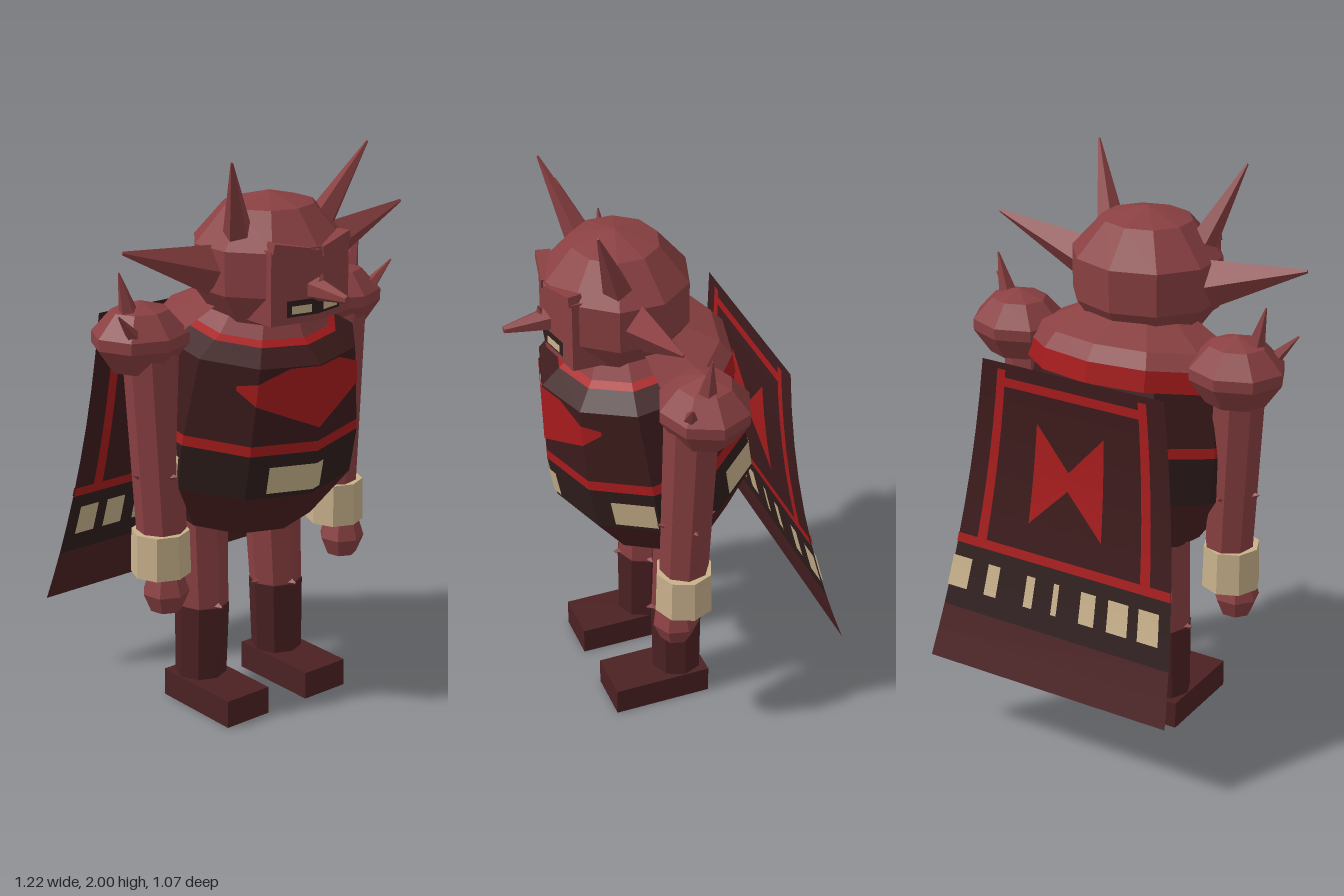
import * as THREE from 'three';

const mat = (name, color, side = THREE.FrontSide) => {
  const m = new THREE.MeshStandardMaterial({ color, side });
  m.name = name;
  return m;
};

export function createModel() {
  const model = new THREE.Group();
  model.name = 'hornedWarrior';
  const skin = mat('skin', 0x8a4042);
  const boot = mat('darkRed', 0x4b2123, THREE.DoubleSide);
  const cloth = mat('maroonCloth', 0x3d1b1c, THREE.DoubleSide);
  const black = mat('blackBand', 0x2f1e1d, THREE.DoubleSide);
  const red = mat('red', 0xa81c1d, THREE.DoubleSide);
  const pale = mat('pale', 0xc9b28c, THREE.DoubleSide);

  // Faceted mesh helper
  const add = (name, geo, material, parent = model, pos = [0, 0, 0]) => {
    const g = geo.index ? geo.toNonIndexed() : geo;
    g.computeVertexNormals();
    const mesh = new THREE.Mesh(g, material);
    mesh.name = name;
    mesh.position.set(...pos);
    parent.add(mesh);
    return mesh;
  };
  const lathe = (pts, n, zScale = 1, start = 0, length = Math.PI * 2) =>
    new THREE.LatheGeometry(pts.map(p => new THREE.Vector2(...p)), n, start, length).scale(1, 1, zScale);
  const box = (w, h, d) => new THREE.BoxGeometry(w, h, d);

  // Tapered rod from a to b; squash narrows it along z
  const rod = (name, a, b, rA, rB, n, material, squash = 1, parent = model) => {
    const A = new THREE.Vector3(...a), B = new THREE.Vector3(...b);
    const dir = B.clone().sub(A), len = dir.length();
    const g = new THREE.CylinderGeometry(rB, rA, len, n).scale(1, 1, squash);
    const mesh = add(name, g, material, parent, A.add(B).multiplyScalar(0.5).toArray());
    mesh.quaternion.setFromUnitVectors(new THREE.Vector3(0, 1, 0), dir.normalize());
    return mesh;
  };

  // Surface patch: P(u, v) sampled on lists of u and v
  const sheet = (P, us, vs) => {
    const pos = [], idx = [], n = vs.length;
    us.forEach((u, i) => vs.forEach((v, j) => {
      pos.push(...P(u, v));
      if (i && j) {
        const d = i * n + j, a = d - n - 1;
        idx.push(a, d - 1, d, a, d, d - n);
      }
    }));
    const g = new THREE.BufferGeometry();
    g.setAttribute('position', new THREE.Float32BufferAttribute(pos, 3));
    g.setIndex(idx);
    return g;
  };
  const range = (a, b, n) => Array.from({ length: n + 1 }, (_, i) => a + (b - a) * i / n);

  // Torso: ten-sided barrel leaning forward, cut into coloured rings
  const torso = new THREE.Group();
  torso.name = 'torso';
  torso.position.set(0, 0.71, -0.015);
  torso.rotation.x = 0.17;
  model.add(torso);
  const ZS = 0.87;
  const rings = [
    ['belly', [[0, 0], [0.28, 0], [0.405, 0.19]], boot],
    ['waistBand', [[0.405, 0.19], [0.41, 0.355]], black],
    ['waistStripe', [[0.41, 0.355], [0.404, 0.39]], red],
    ['chest', [[0.404, 0.39], [0.36, 0.655], [0.28, 0.7]], cloth],
    ['neckline', [[0.28, 0.7], [0.25, 0.715]], red],
    ['neck', [[0.25, 0.715], [0.19, 0.79], [0, 0.8]], skin],
  ];
  for (const [name, pts, m] of rings) add(name, lathe(pts, 10, ZS), m, torso);

  // Raised collar around the back
  const back = [6, Math.PI * 0.5, Math.PI];
  add('collar', lathe([[0.4, 0.655], [0.36, 0.71], [0.2, 0.79]], back[0], ZS, back[1], back[2]), skin, torso);
  add('collarTrim', lathe([[0.4, 0.58], [0.4, 0.655]], back[0], ZS, back[1], back[2]), red, torso);

  // Point on the faceted torso at an angle (degrees) and height
  const surf = (deg, h) => {
    const r = 0.006 + (h < 0.36 ? 0.405 + (h - 0.19) * 0.03 : 0.404 - (h - 0.39) * 0.166);
    const k = Math.floor(deg / 36), t = deg / 36 - k;
    const a = k * Math.PI / 5, b = a + Math.PI / 5;
    return [r * ((1 - t) * Math.sin(a) + t * Math.sin(b)), h, ZS * r * ((1 - t) * Math.cos(a) + t * Math.cos(b))];
  };
  for (const [a, b] of [[-25, 6], [47, 71], [118, 148], [189, 217], [262, 287]]) {
    const us = [a, ...range(-36, 360, 11).filter(d => d > a && d < b), b];
    add('waistPatch', sheet(surf, us, [0.21, 0.31]), pale, torso);
  }
  // Chest emblem: columns given as angle, low and high edge
  const columns = [[-48, 0.575, 0.59], [-36, 0.53, 0.605], [-18, 0.485, 0.652], [0, 0.44, 0.654],
    [18, 0.485, 0.652], [36, 0.53, 0.605], [48, 0.575, 0.59]];
  add('chestPanel', sheet((i, v) => {
    const [deg, lo, hi] = columns[i];
    return surf(deg, lo + (hi - lo) * v);
  }, range(0, 6, 6), [0, 1]), red, torso);

  // Head
  const head = new THREE.Group();
  head.name = 'head';
  model.add(head);
  add('skull', lathe([[0, 1.42], [0.19, 1.43], [0.268, 1.54], [0.268, 1.69], [0.16, 1.81], [0, 1.85]], 10, 0.93),
    skin, head, [0, 0, 0.14]);
  const outline = [[-0.17, -0.12], [-0.17, -0.35], [0, -0.385], [0.17, -0.35], [0.17, -0.12]];
  const faceShape = new THREE.Shape(outline.map(p => new THREE.Vector2(...p)));
  const face = new THREE.ExtrudeGeometry(faceShape, { depth: 0.25, bevelEnabled: false });
  add('face', face.rotateX(-Math.PI / 2), skin, head, [0, 1.45, 0]);
  const onFace = off => (x, y) => [x, y, 0.385 - 0.206 * Math.abs(x) + off];
  add('mouth', sheet(onFace(0.004), [-0.115, 0, 0.115], [1.475, 1.53]), black, head);
  for (const s of [1, -1]) {
    const xs = s > 0 ? [0.025, 0.1] : [-0.1, -0.025];
    add('tooth', sheet(onFace(0.008), xs, [1.485, 1.512]), pale, head);
    const brow = add('brow', box(0.15, 0.035, 0.05), skin, head, [s * 0.09, 1.695, 0.35]);
    brow.rotation.set(0, s * 0.2, s * 0.2);
    rod('horn', [s * 0.185, 1.74, 0.2], [s * 0.293, 2.0, 0.3], 0.05, 0.004, 5, skin, 1, head);
    rod('ear', [s * 0.24, 1.615, 0.14], [s * 0.61, 1.727, 0.14], 0.085, 0.006, 4, skin, 0.7, head);
  }
  rod('nose', [0, 1.56, 0.36], [0, 1.55, 0.53], 0.046, 0.013, 6, skin, 1, head);
  rod('noseSpike', [0, 1.575, 0.4], [0, 1.615, 0.41], 0.02, 0.002, 4, skin, 1, head);

  // Arms and legs, mirrored
  for (const s of [1, -1]) {
    const arm = new THREE.Group();
    arm.name = s > 0 ? 'leftArm' : 'rightArm';
    model.add(arm);
    add('shoulder', lathe([[0, 1.27], [0.11, 1.285], [0.17, 1.37], [0.17, 1.41], [0.1, 1.485], [0, 1.515]], 8, 0.92),
      skin, arm, [s * 0.435, 0, -0.005]);
    rod('shoulderSpike', [s * 0.49, 1.47, 0.01], [s * 0.53, 1.625, 0.01], 0.036, 0.003, 5, skin, 1, arm);
    rod('shoulderSpike', [s * 0.525, 1.42, 0.08], [s * 0.605, 1.51, 0.105], 0.026, 0.003, 5, skin, 1, arm);
    rod('armTube', [s * 0.425, 1.35, 0.035], [s * 0.393, 0.68, 0.045], 0.094, 0.086, 8, skin, 1, arm);
    for (const [dx, dz] of [[1, 0], [-1, 0], [0, 1], [0, -1]]) {
      const at = (r, y) => [s * 0.404 + dx * r, y, 0.042 + dz * r];
      rod('elbowSpike', at(0.07, 0.92), at(0.105, 0.93), 0.018, 0.002, 4, skin, 1, arm);
    }
    add('cuff', new THREE.CylinderGeometry(0.1, 0.104, 0.155, 8), pale, arm, [s * 0.402, 0.638, 0.048]);
    add('hand', lathe([[0, 0.425], [0.055, 0.435], [0.082, 0.5], [0.06, 0.57]], 7), skin, arm, [s * 0.408, 0, 0.08]);

    const leg = new THREE.Group();
    leg.name = s > 0 ? 'leftLeg' : 'rightLeg';
    model.add(leg);
    rod('thigh', [s * 0.172, 0.365, -0.015], [s * 0.168, 0.8, -0.04], 0.094, 0.106, 8, skin, 1, leg);
    rod('bootShaft', [s * 0.18, 0.04, -0.015], [s * 0.172, 0.368, -0.015], 0.09, 0.097, 8, boot, 1, leg);
    for (const [dx, dz] of [[0, 1], [1, 0], [-1, 0], [0, -1]]) {
      const at = r => [s * 0.172 + dx * r, 0.375, -0.015 + dz * r];
      rod('kneeSpike', at(0.07), at(0.112), 0.024, 0.003, 4, skin, 1, leg);
    }
    add('foot', box(0.185, 0.1, 0.355), boot, leg, [s * 0.18, 0.05, 0.0725]);
  }

  // Cape: u runs across from -1 to 1, v from top to hem
  const cape = new THREE.Group();
  cape.name = 'cape';
  model.add(cape);
  const capeAt = off => (u, v) =>
    [u * (0.355 + 0.125 * v), 1.385 - 1.095 * v, -0.345 - 0.19 * v * v + off];
  add('capeCloth', sheet(capeAt(0), [-1, 1], range(0, 0.62, 5)), cloth, cape);
  add('capeBand', sheet(capeAt(0), [-1, 1], range(0.62, 0.83, 2)), black, cape);
  add('capeHem', sheet(capeAt(0), [-1, 1], range(0.83, 1, 2)), boot, cape);
  for (const off of [-0.005, 0.005]) {
    const P = capeAt(off);
    const patch = (name, u0, u1, v0, v1, m) => add(name, sheet(P, [u0, u1], range(v0, v1, 6)), m, cape);
    patch('capeTopLine', -0.8, 0.8, 0.045, 0.075, red);
    patch('capeLowLine', -1, 1, 0.59, 0.62, red);
    for (const s of [1, -1]) patch('capeSideLine', s * 0.77 - 0.045, s * 0.77 + 0.045, 0.02, 0.59, red);
    // Bow emblem pinched in the middle
    const bow = (u, t) => P(u, 0.335 + t * (0.03 + 0.135 * Math.abs(u) / 0.35));
    add('capeEmblem', sheet(bow, [-0.35, 0, 0.35], range(-1, 1, 6)), red, cape);
    // Patches along the dark band: centre and width in x
    for (const [x, w] of [[-0.36, 0.08], [-0.24, 0.08], [-0.12, 0.06], [0.01, 0.022], [0.115, 0.035], [0.27, 0.05], [0.405, 0.08]])
      patch('capePatch', (x - w / 2) / 0.443, (x + w / 2) / 0.443, 0.665, 0.765, pale);
  }
  return model;
}
